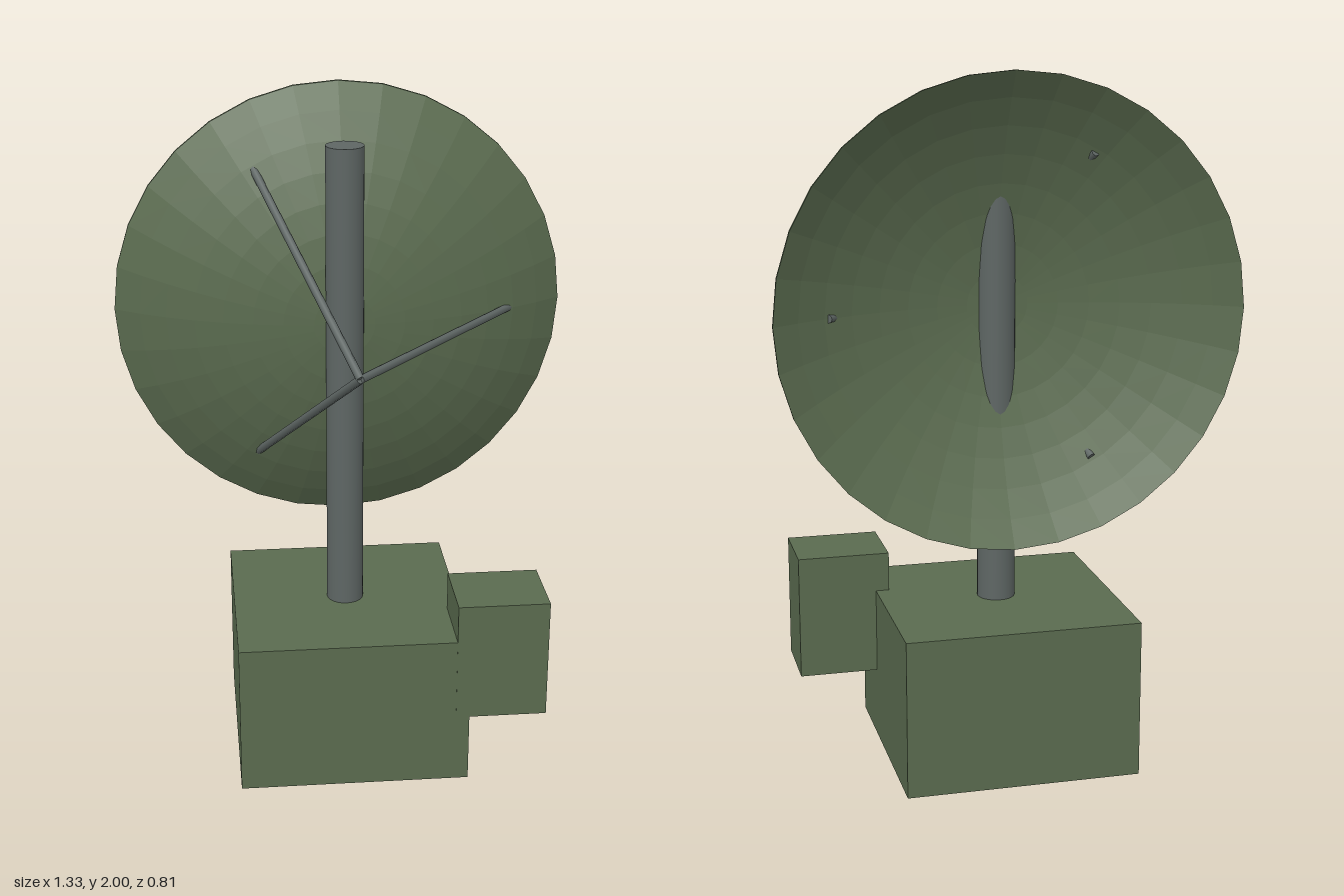
import * as THREE from 'three';

const green = new THREE.MeshStandardMaterial({ color: 0x5a6b4f, flatShading: true });
const steel = new THREE.MeshStandardMaterial({ color: 0x5e6664 });

const DISH_Y = 1.333;
const DISH_R = 0.667;
const APEX_Z = -0.055;

function add(parent, name, geometry, material, x = 0, y = 0, z = 0) {
  const mesh = new THREE.Mesh(geometry, material);
  mesh.name = name;
  mesh.position.set(x, y, z);
  parent.add(mesh);
  return mesh;
}

// Box given by its minimum and maximum corners
function addBox(parent, name, min, max) {
  const size = max.map((v, i) => v - min[i]);
  const mid = max.map((v, i) => (v + min[i]) / 2);
  return add(parent, name, new THREE.BoxGeometry(...size), green, ...mid);
}

// Round bar between two points
function addBar(parent, name, a, b, radius) {
  const dir = b.clone().sub(a);
  const bar = add(parent, name, new THREE.CylinderGeometry(radius, radius, dir.length(), 8), steel);
  bar.position.copy(a).add(b).multiplyScalar(0.5);
  bar.quaternion.setFromUnitVectors(new THREE.Vector3(0, 1, 0), dir.normalize());
  return bar;
}

// Thin spherical cap with a closed rim, bulging along +y
function dishGeometry() {
  const depth = 0.212, thickness = 0.012, rings = 8;
  const R = (DISH_R ** 2 + depth ** 2) / (2 * depth);
  const maxAngle = Math.asin(DISH_R / R);
  const outer = [], inner = [];
  for (let i = 0; i <= rings; i++) {
    const a = (maxAngle * i) / rings;
    const r = R * Math.sin(a), y = -R * (1 - Math.cos(a));
    outer.unshift(new THREE.Vector2(r, y));
    inner.push(new THREE.Vector2(r, y - thickness));
  }
  return new THREE.LatheGeometry([...inner, ...outer], 32);
}

export function createModel() {
  const model = new THREE.Group();
  model.name = 'dishAntenna';

  // Equipment cabinets
  addBox(model, 'baseCabinet', [-0.34, 0, -0.4], [0.34, 0.46, 0.28]);
  addBox(model, 'sideCabinet', [0.3, 0.21, 0.057], [0.57, 0.575, 0.281]);

  // Mast
  add(model, 'mast', new THREE.CylinderGeometry(0.055, 0.055, 1.4, 24), steel, 0, 1.16, -0.056);

  // Reflector, hollow side towards the back
  const dish = add(model, 'reflectorDish', dishGeometry(), green, 0, DISH_Y, APEX_Z);
  dish.rotation.x = Math.PI / 2;

  // Three feed struts meeting in front of the dish
  const struts = new THREE.Group();
  struts.name = 'feedStruts';
  model.add(struts);
  const tip = new THREE.Vector3(0, DISH_Y, 0.4);
  for (let i = 0; i < 3; i++) {
    const a = (i * Math.PI * 2) / 3;
    const foot = new THREE.Vector3(0.503 * Math.cos(a), DISH_Y + 0.503 * Math.sin(a), -0.184);
    addBar(struts, 'feedStrut', tip, foot, 0.012);
  }

  return model;
}
